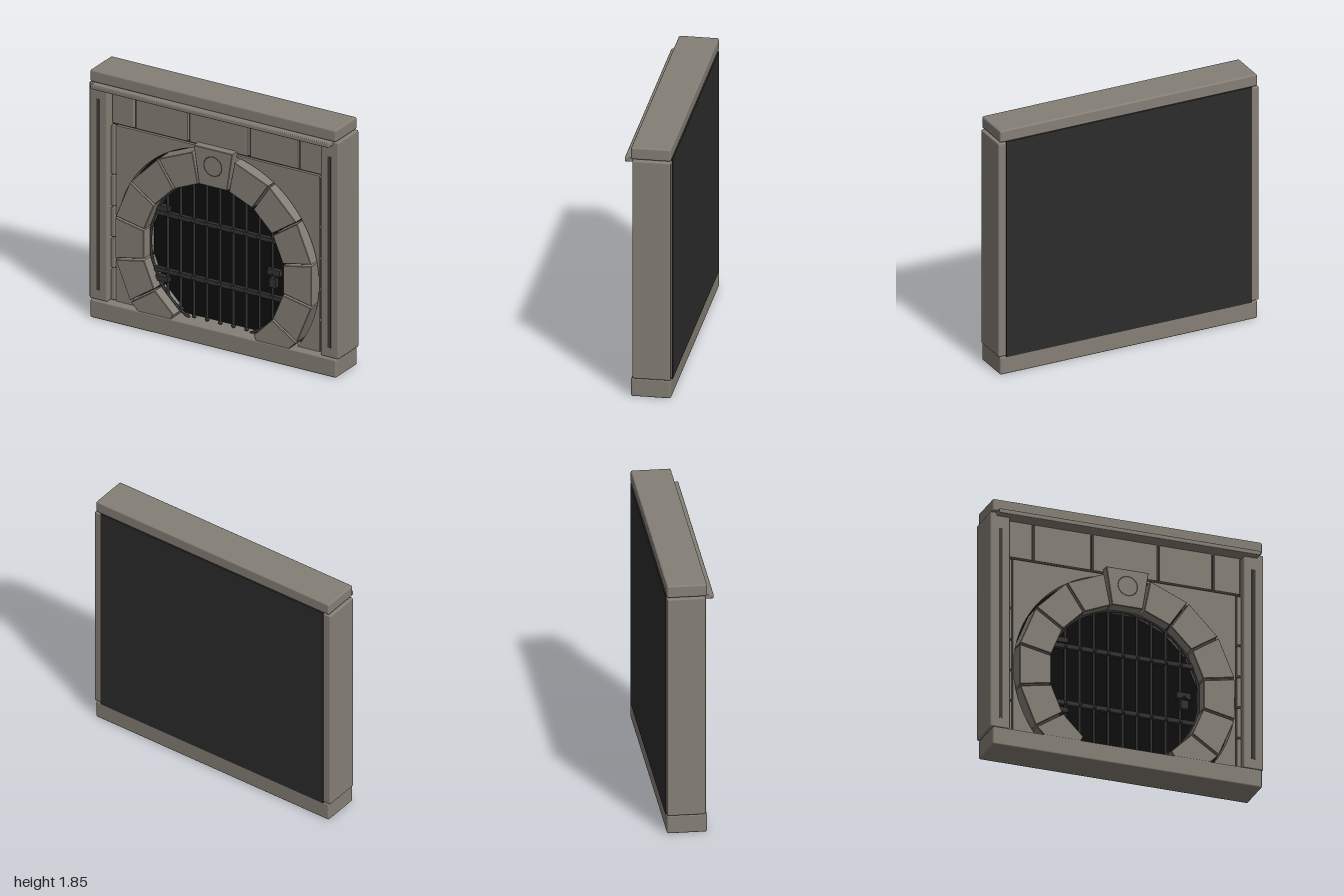
import * as THREE from 'three';
import { RoundedBoxGeometry } from 'three/addons/geometries/RoundedBoxGeometry.js';

const CY = 0.635; // centre height of the round opening

export function createModel() {
  const root = new THREE.Group();
  root.name = 'tunnelGateFacade';
  const mat = (name, color) => {
    const m = new THREE.MeshStandardMaterial({ color });
    m.name = name;
    return m;
  };
  const stone = mat('stone', 0x857f75);
  const joint = mat('joint shadow grey', 0x3d3b37);
  const iron = mat('dark iron', 0x323232);
  const backing = mat('back panel grey', 0x2c2c2c);
  const black = mat('tunnel black', 0x0d0d0d);

  const add = (name, geo, material, x = 0, y = 0, z = 0) => {
    const m = new THREE.Mesh(geo, material);
    m.name = name;
    m.position.set(x, y, z);
    root.add(m);
    return m;
  };
  // Box given by its extents, with softened edges when r > 0
  const block = (name, x0, x1, y0, y1, z0, z1, material, r = 0) => {
    const s = [x1 - x0, y1 - y0, z1 - z0];
    const geo = r ? new RoundedBoxGeometry(...s, 2, r) : new THREE.BoxGeometry(...s);
    return add(name, geo, material, (x0 + x1) / 2, (y0 + y1) / 2, (z0 + z1) / 2);
  };
  // Extruded outline between two depths, with a small bevel
  const slab = (name, shape, z0, z1, material, b = 0.004) => {
    const geo = new THREE.ExtrudeGeometry(shape, {
      depth: z1 - z0 - 2 * b, bevelEnabled: b > 0, bevelThickness: b, bevelSize: b,
      bevelOffset: -b, bevelSegments: 1, curveSegments: 64,
    });
    return add(name, geo, material, 0, 0, z0 + b);
  };
  const polygon = (pts) => new THREE.Shape(pts.map(([x, y]) => new THREE.Vector2(x, y)));

  // Base, cap, ledge and back panel
  block('base', -0.985, 0.985, 0, 0.135, -0.16, 0.117, stone, 0.012);
  block('cap', -0.985, 0.985, 1.757, 1.845, -0.16, 0.117, stone, 0.012);
  block('ledge', -0.955, 0.955, 1.725, 1.757, 0, 0.165, stone, 0.007);
  block('backPanel', -0.94, 0.94, 0.13, 1.76, -0.166, -0.15, backing);
  block('tunnelDarkness', -0.86, 0.86, 0.1, 1.76, -0.06, -0.03, black);

  // Pillars with a sunken stripe, and a column of narrow bricks beside each
  const rows = [0.135, 0.375, 0.605, 0.835, 1.07, 1.445];
  for (const s of [-1, 1]) {
    const side = (name, a, b, ...rest) =>
      block(name, Math.min(s * a, s * b), Math.max(s * a, s * b), ...rest);
    side('pillar', 0.855, 0.998, 0.137, 1.752, -0.16, 0.106, stone, 0.01);
    side('pillarStripe', 0.912, 0.938, 0.21, 1.635, 0.1, 0.108, joint);
    for (let i = 0; i < rows.length - 1; i++) {
      side('edgeBrick', 0.823, 0.853, rows[i] + 0.006, rows[i + 1] - 0.006, 0, 0.06, stone, 0.006);
    }
  }

  // Wall outline with the round opening cut from its lower edge
  const wallShape = (w, top, r) => {
    const a = Math.asin((0.1 - CY) / r);
    const s = new THREE.Shape();
    s.moveTo(-w, 0.1);
    s.lineTo(-r * Math.cos(a), 0.1);
    s.absarc(0, CY, r, Math.PI - a, a, true);
    s.lineTo(w, 0.1);
    s.lineTo(w, top);
    s.lineTo(-w, top);
    return s;
  };
  slab('jointBacking', wallShape(0.86, 1.75, 0.815), -0.03, 0.03, joint, 0);
  slab('archWall', wallShape(0.815, 1.444, 0.81), -0.02, 0.052, stone, 0);

  // Course of large blocks above the arch
  const cuts = [-0.855, -0.665, -0.235, 0.25, 0.65, 0.855];
  for (let i = 0; i < cuts.length - 1; i++) {
    block('upperBlock', cuts[i] + 0.008, cuts[i + 1] - 0.008, 1.457, 1.742, 0, 0.055, stone, 0.006);
  }

  // Wedge stones of the arch, mirrored left and right
  const R0 = 0.568, R1 = 0.8, GAP = 0.007, STEP = Math.PI / 8;
  const corner = (r, a, g) => [
    r * Math.cos(a) - g * Math.sin(a), CY + r * Math.sin(a) + g * Math.cos(a),
  ];
  for (const s of [-1, 1]) {
    for (let i = 0; i < 6; i++) {
      const hi = Math.PI / 2 - STEP * (i + 0.5), lo = hi - STEP;
      const top = i === 0 ? -0.014 : -GAP;
      const pts = [corner(R0, lo, GAP), corner(R1, lo, GAP), corner(R1, hi, top), corner(R0, hi, top)];
      // The lowest stone is cut off where it meets the base
      if (i === 5) pts.splice(1, 1, [0.357, 0.1], [0.575, 0.1]);
      slab('archStone', polygon(pts.map(([x, y]) => [s * x, y])), -0.03, 0.112, stone);
    }
  }
  slab('keystone', polygon([[-0.112, 1.195], [0.112, 1.195], [0.155, 1.475], [-0.155, 1.475]]),
    -0.03, 0.117, stone);
  add('keystoneRing', new THREE.RingGeometry(0.066, 0.076, 40), joint, 0, 1.35, 0.1185);

  // Round gate frame
  const GZ = 0.02;
  const a0 = Math.asin((0.13 - CY) / 0.56);
  const frame = add('gateFrame',
    new THREE.TorusGeometry(0.56, 0.011, 8, 64, Math.PI - 2 * a0), iron, 0, CY, GZ);
  frame.rotation.z = a0;

  // Upright bars with rounded feet, and rivets where the cross bars pass
  const crossY = [0.44, 0.865];
  for (let i = -4; i <= 4; i++) {
    const x = i * 0.105;
    const half = Math.sqrt(0.56 ** 2 - x * x);
    const y0 = Math.max(0.14, CY - half), y1 = CY + half;
    add('gateBar', new THREE.CylinderGeometry(0.01, 0.01, y1 - y0, 10), iron, x, (y0 + y1) / 2, GZ);
    if (Math.abs(i) <= 2) add('barFoot', new THREE.SphereGeometry(0.016, 10, 8), iron, x, 0.153, GZ);
    for (const y of crossY) add('rivet', new THREE.SphereGeometry(0.012, 8, 6), iron, x, y, GZ + 0.017);
  }

  // Cross bars and hinges
  for (const y of crossY) {
    block('crossBar', -0.52, 0.53, y - 0.016, y + 0.016, GZ - 0.014, GZ + 0.017, iron);
  }
  for (const y of [0.38, 0.905]) {
    block('hinge', -0.55, -0.405, y - 0.02, y + 0.02, GZ - 0.02, GZ + 0.025, iron, 0.004);
  }

  // Lock plate with a hanging padlock
  block('lockPlate', 0.39, 0.49, 0.61, 0.655, GZ - 0.01, GZ + 0.025, iron);
  block('padlock', 0.412, 0.468, 0.525, 0.595, GZ, GZ + 0.04, iron, 0.005);
  add('padlockShackle', new THREE.TorusGeometry(0.02, 0.006, 8, 16, Math.PI), iron, 0.44, 0.6, GZ + 0.03);

  return root;
}
